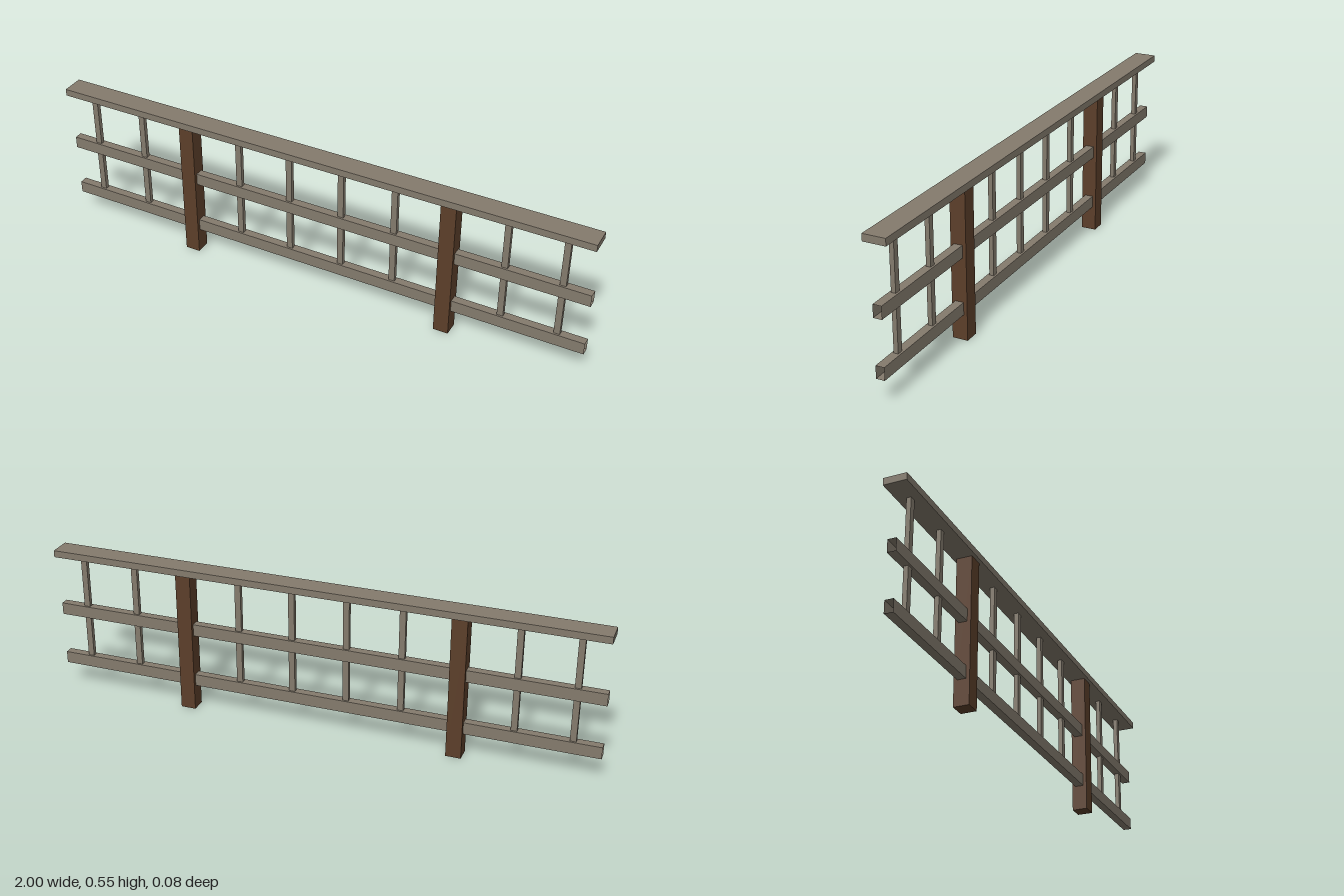
import * as THREE from 'three';

export function createModel() {
  const model = new THREE.Group();
  model.name = 'fence';

  const greyWood = new THREE.MeshStandardMaterial({ color: 0x847b6d });
  greyWood.name = 'grey wood';
  const railWood = greyWood.clone(); // same colour, visible inside the hollow rails
  railWood.name = 'grey rail wood';
  railWood.side = THREE.DoubleSide;
  const brownWood = new THREE.MeshStandardMaterial({ color: 0x5c3f2a });
  brownWood.name = 'brown wood';

  // Upright or lying box between two heights
  function addBeam(name, width, bottom, top, depth, x, material) {
    const geometry = new THREE.BoxGeometry(width, top - bottom, depth);
    const mesh = new THREE.Mesh(geometry, material);
    mesh.name = name;
    mesh.position.set(x, (bottom + top) / 2, 0);
    model.add(mesh);
    return mesh;
  }

  // Flat top board
  addBeam('topBoard', 2, 0.527, 0.552, 0.08, 0, greyWood);

  // Hollow rails, open at both ends (the first two box sides are left out)
  for (const [name, bottom] of [['lowerRail', 0.091], ['middleRail', 0.291]]) {
    const rail = addBeam(name, 2, bottom, bottom + 0.044, 0.03, 0, railWood);
    rail.geometry.setIndex(Array.from(rail.geometry.index.array).slice(12));
    rail.geometry.clearGroups();
  }

  // Posts
  for (const x of [-0.5, 0.5]) addBeam('post', 0.055, 0, 0.527, 0.055, x, brownWood);

  // Balusters, mirrored left and right
  for (const x of [0.1, 0.3, 0.7, 0.9]) {
    for (const side of [-1, 1]) {
      addBeam('baluster', 0.022, 0.122, 0.53, 0.016, side * x, greyWood);
    }
  }

  return model;
}
